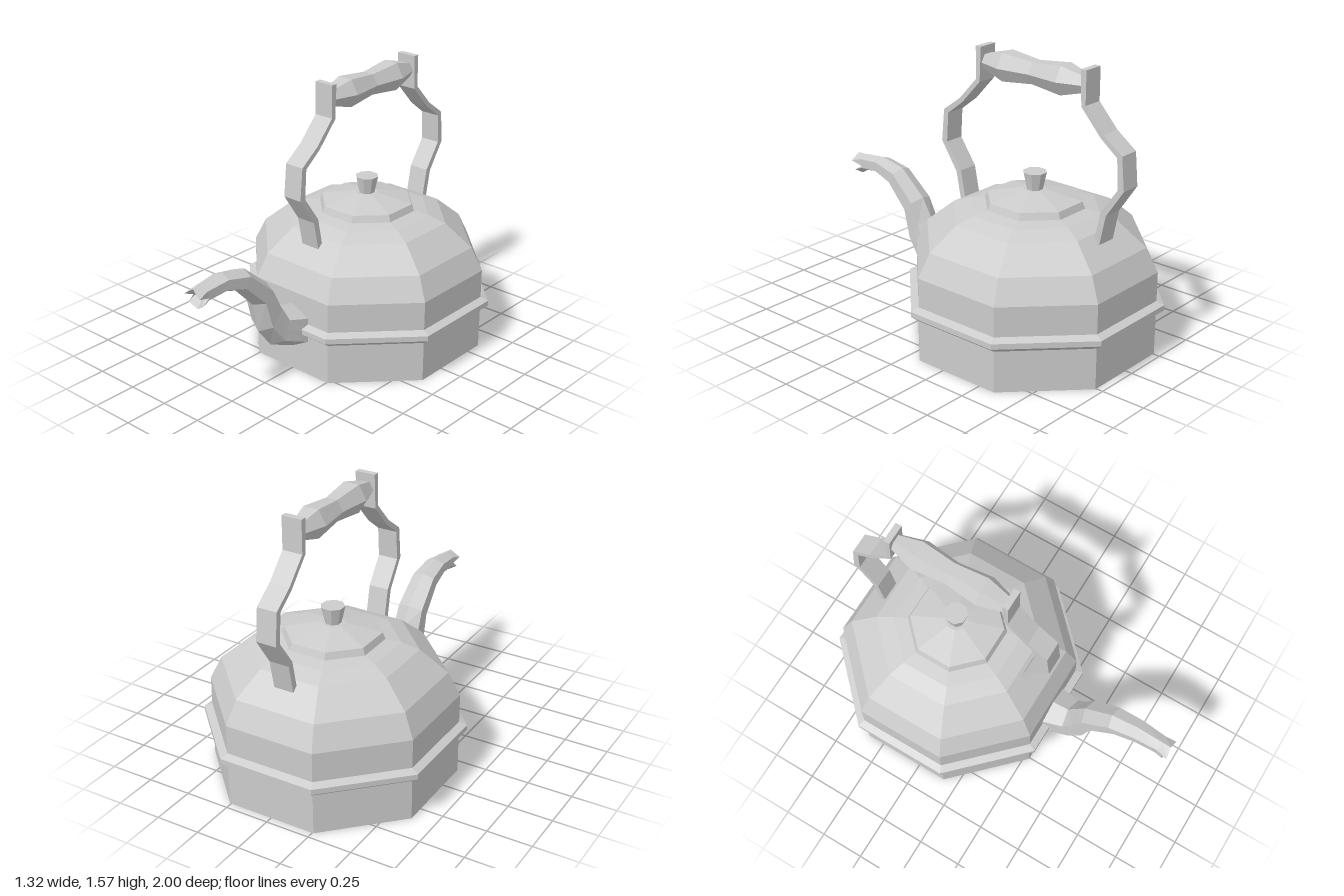
import * as THREE from 'three';

const AXIS_Z = -0.34; // centre line of the kettle body

export function createModel() {
  const group = new THREE.Group();
  const material = new THREE.MeshStandardMaterial({ color: 0xcccccc, flatShading: true });

  const add = (name, geometry, parent = group) => {
    const mesh = new THREE.Mesh(geometry, material);
    mesh.name = name;
    parent.add(mesh);
    return mesh;
  };

  // Octagonal lathe with flats on the axes; radii are measured to the flats
  const octagon = (name, profile) => {
    const k = 1 / Math.cos(Math.PI / 8);
    const points = profile.map(([r, y]) => new THREE.Vector2(r * k, y));
    add(name, new THREE.LatheGeometry(points, 8, Math.PI / 8)).position.z = AXIS_Z;
  };

  octagon('body', [[0, 0], [0.62, 0], [0.62, 0.47], [0.56, 0.6], [0.42, 0.725], [0.33, 0.76], [0.25, 0.775], [0, 0.775]]);
  octagon('bodyBand', [[0.615, 0.225], [0.66, 0.26], [0.66, 0.29], [0.615, 0.31]]);
  octagon('lid', [[0.255, 0.77], [0.24, 0.812], [0.06, 0.855], [0, 0.855]]);
  octagon('lidKnob', [[0.04, 0.85], [0.06, 0.95], [0, 0.95]]);

  // Handle: two bent straps, mirrored front to back, joined by a grip
  const handle = new THREE.Group();
  handle.name = 'handle';
  handle.position.z = AXIS_Z;
  group.add(handle);

  const outer = [[0.465, 0.66], [0.503, 0.845], [0.607, 1.0], [0.59, 1.18], [0.475, 1.265], [0.36, 1.39], [0.36, 1.57]];
  const inner = [[0.43, 0.66], [0.47, 0.857], [0.57, 1.0], [0.56, 1.165], [0.457, 1.245], [0.334, 1.38], [0.325, 1.57]];
  const outline = [...outer, ...inner.reverse()].map(([d, y]) => new THREE.Vector2(d, y));
  const strap = new THREE.ExtrudeGeometry(new THREE.Shape(outline), { depth: 0.114, bevelEnabled: false });
  strap.rotateY(-Math.PI / 2).translate(0.057, 0, 0);
  add('frontStrap', strap, handle);
  add('backStrap', strap, handle).rotation.y = Math.PI;

  // Hexagonal grip, swelling towards both ends
  const gripProfile = [[0.045, -0.335], [0.088, -0.19], [0.066, 0], [0.088, 0.19], [0.045, 0.335]];
  const grip = new THREE.LatheGeometry(gripProfile.map(([r, t]) => new THREE.Vector2(r, t)), 6, Math.PI / 2);
  grip.rotateX(Math.PI / 2).translate(0, 1.483, 0);
  add('grip', grip, handle);

  add('spout', spoutGeometry());
  return group;
}

// Spout: ridged cross-sections along a curved neck, ending in two lips
function spoutGeometry() {
  // Each section: top z, top y, bottom z, bottom y, half width
  const sections = [
    [0.2, 0.39, 0.2, 0.11, 0.12],
    [0.28, 0.4, 0.28, 0.138, 0.115],
    [0.375, 0.412, 0.45, 0.214, 0.09],
    [0.415, 0.49, 0.54, 0.33, 0.08],
    [0.475, 0.595, 0.578, 0.503, 0.075],
    [0.635, 0.735, 0.7, 0.632, 0.066],
    [0.79, 0.767, 0.807, 0.668, 0.056],
    [0.94, 0.752, 0.92, 0.656, 0.046],
  ];
  const ring = (half) => [...half, ...half.slice(1, -1).reverse().map(([x, y, z]) => [-x, y, z])];

  const rings = sections.map(([tz, ty, bz, by, w]) =>
    ring([0, 0.22, 0.5, 0.76, 1].map((t, i) => [
      i % 4 ? -w : 0,
      ty + (by - ty) * t,
      tz + (bz - tz) * t,
    ])));
  // Lips with the corners of the mouth set back
  rings.push(ring([[0, 0.75, 0.99], [-0.055, 0.712, 1.0], [-0.046, 0.69, 0.925], [-0.05, 0.66, 0.975], [0, 0.63, 0.965]]));

  const positions = [];
  const tri = (...corners) => corners.forEach((p) => positions.push(...p));
  for (let i = 0; i < rings.length - 1; i++) {
    for (let j = 0; j < 8; j++) {
      const n = (j + 1) % 8;
      tri(rings[i][j], rings[i][n], rings[i + 1][n]);
      tri(rings[i][j], rings[i + 1][n], rings[i + 1][j]);
    }
  }
  // Recessed mouth
  const mouth = rings[rings.length - 1];
  mouth.forEach((p, j) => tri([0, 0.69, 0.92], p, mouth[(j + 1) % 8]));

  const geometry = new THREE.BufferGeometry();
  geometry.setAttribute('position', new THREE.Float32BufferAttribute(positions, 3));
  geometry.computeVertexNormals();
  return geometry;
}
